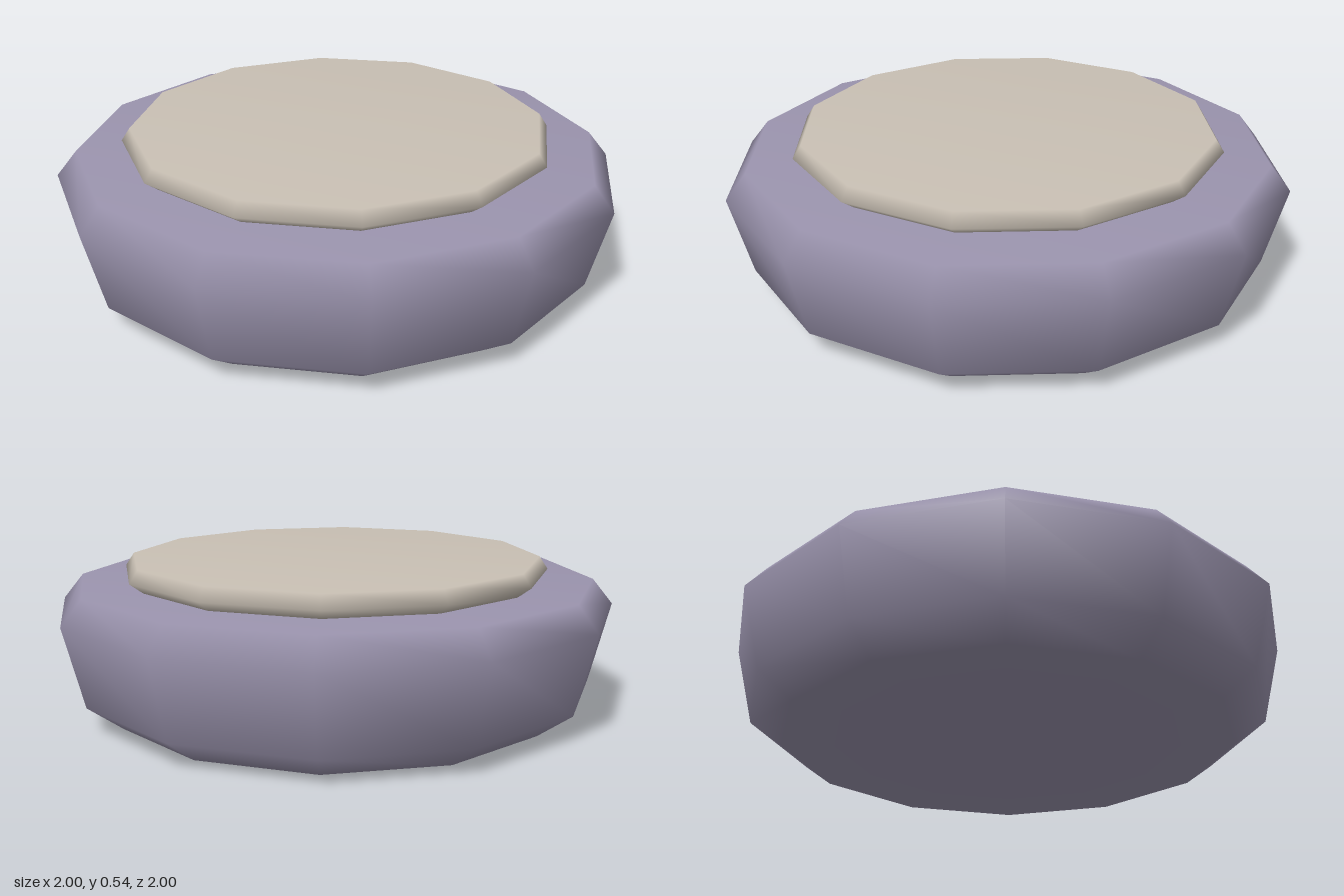
import * as THREE from 'three';

const SIDES = 12;

// Smooth-shaded, twelve-sided solid turned from an [radius, height] profile, bottom to top
function turned(name, profile, material) {
  const points = profile.map(([r, y]) => new THREE.Vector2(r, y));
  const mesh = new THREE.Mesh(new THREE.LatheGeometry(points, SIDES), material);
  mesh.name = name;
  return mesh;
}

export function createModel() {
  const purple = new THREE.MeshStandardMaterial({ name: 'dusty purple', color: 0x9b94ae });
  const cream = new THREE.MeshStandardMaterial({ name: 'warm cream', color: 0xc9c0b4 });

  const group = new THREE.Group();
  group.name = 'roundCushion';

  // Bevelled body, widest near its top
  group.add(turned('body', [
    [0, 0], [0.805, 0], [0.928, 0.09], [1, 0.373], [0.928, 0.462], [0, 0.462],
  ], purple));

  // Thin bevelled pad resting on the body
  group.add(turned('topPad', [
    [0, 0.455], [0.715, 0.46], [0.765, 0.497], [0.735, 0.542], [0, 0.542],
  ], cream));

  return group;
}
